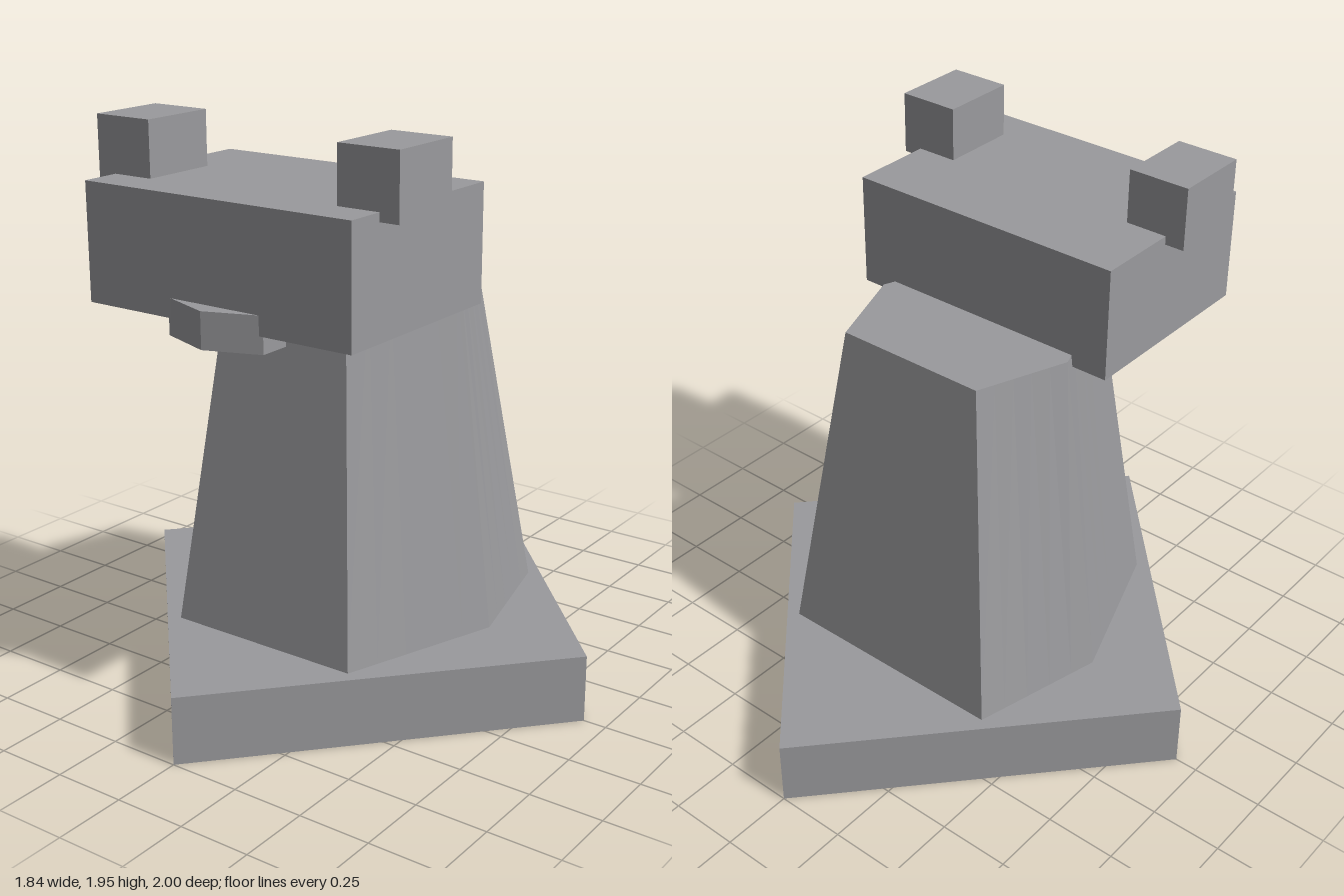
import * as THREE from 'three';

// Hollow shell between two matching closed outlines ([x, z] points): walls and a lid, open below.
// Each side is cut into strips so slightly twisted faces stay smooth.
function shell(lower, y0, upper, y1, strips = 1) {
  const pos = [];
  const tri = (a, b, c) => pos.push(...a, ...b, ...c);
  const refine = (pts, y) => pts.flatMap(([x, z], i) => {
    const [nx, nz] = pts[(i + 1) % pts.length];
    return Array.from({ length: strips }, (_, k) => {
      const t = k / strips;
      return [x + (nx - x) * t, y, z + (nz - z) * t];
    });
  });
  const lo = refine(lower, y0), hi = refine(upper, y1);
  for (let i = 0; i < lo.length; i++) {
    const j = (i + 1) % lo.length;
    tri(lo[i], lo[j], hi[j]);
    tri(lo[i], hi[j], hi[i]);
    tri([0, y1, 0], hi[i], hi[j]);
  }
  const geo = new THREE.BufferGeometry();
  geo.setAttribute('position', new THREE.Float32BufferAttribute(pos, 3));
  geo.computeVertexNormals();
  return geo;
}

// Symmetric six-sided outline, counter-clockwise seen from above
const outline = (frontX, frontZ, sideX, backX, backZ) => [
  [-frontX, frontZ], [frontX, frontZ], [sideX, 0],
  [backX, backZ], [-backX, backZ], [-sideX, 0],
];

// Straight-walled shell, and a rectangular one
const prism = (pts, y0, y1) => shell(pts, y0, pts, y1);
const openBox = (w, d, y0, y1) => prism(
  [[-w / 2, d / 2], [w / 2, d / 2], [w / 2, -d / 2], [-w / 2, -d / 2]], y0, y1);

export function createModel() {
  const model = new THREE.Group();
  model.name = 'animalPiece';
  const grey = new THREE.MeshStandardMaterial({ color: 0x9a9a9d, side: THREE.DoubleSide });
  grey.name = 'stoneGrey';

  const add = (name, geo, x = 0, z = 0) => {
    const mesh = new THREE.Mesh(geo, grey);
    mesh.name = name;
    mesh.position.set(x, 0, z);
    model.add(mesh);
  };

  // Diamond base, hollow underneath
  add('base', prism([[0, 1], [0.92, 0], [0, -1], [-0.92, 0]], 0, 0.235));

  // Tapered body
  add('body', shell(
    outline(0.353, 0.55, 0.548, 0.43, -0.47), 0.235,
    outline(0.237, 0.395, 0.392, 0.275, -0.315), 1.415, 5));

  // Head, overhanging the front, hollow underneath
  add('head', openBox(1.02, 0.705, 1.374, 1.765), 0, 0.393);

  // Ears
  for (const [side, name] of [[1, 'leftEar'], [-1, 'rightEar']]) {
    add(name, openBox(0.217, 0.274, 1.736, 1.95), side * 0.47, 0.472);
  }

  // Flat six-sided muzzle, point forward
  add('muzzle', prism([
    [0, 0.118], [0.185, 0.051], [0.185, -0.059],
    [0, -0.115], [-0.185, -0.059], [-0.185, 0.051],
  ], 1.317, 1.438), 0, 0.69);

  return model;
}
